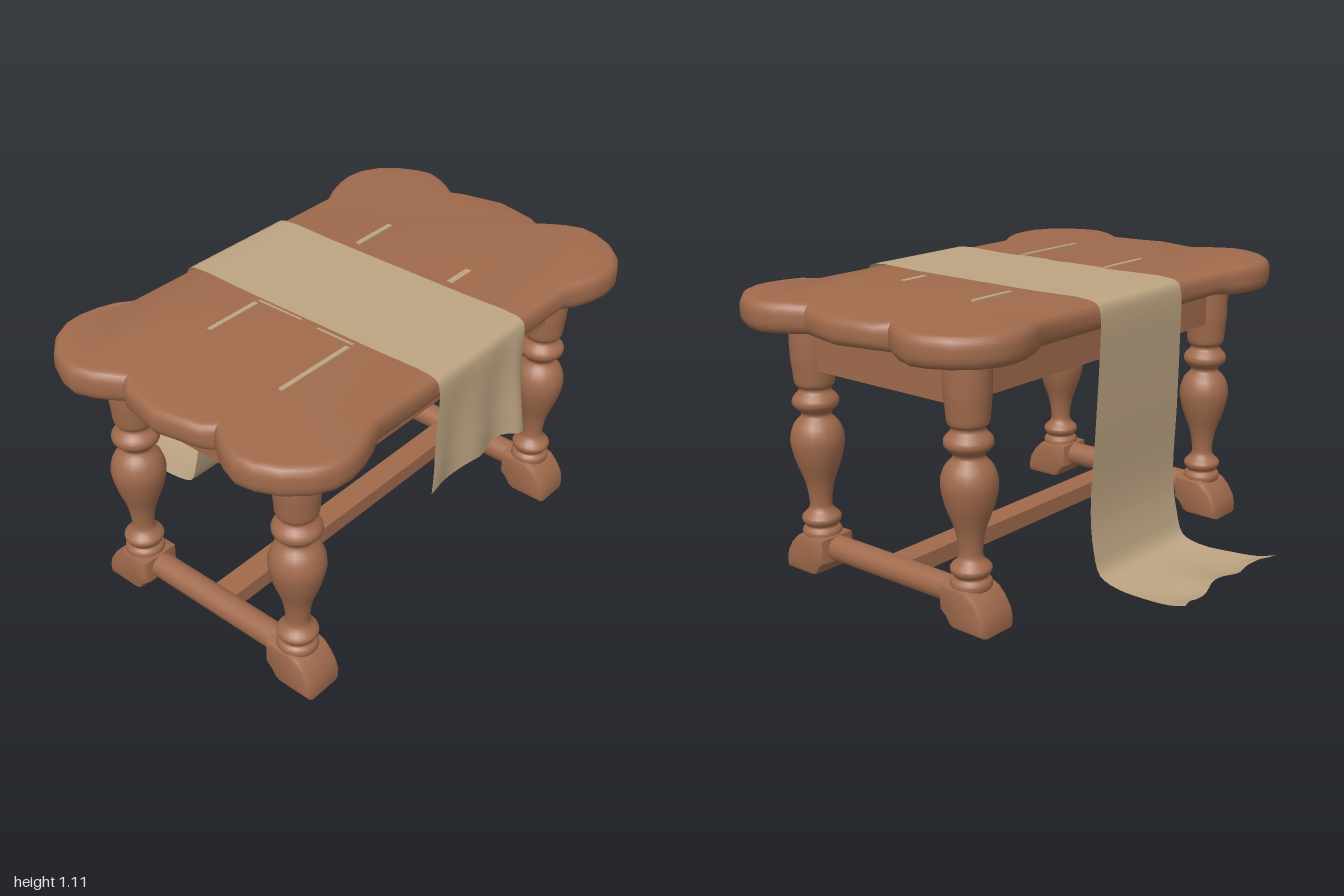
import * as THREE from 'three';
import { toCreasedNormals } from 'three/addons/utils/BufferGeometryUtils.js';

const wood = new THREE.MeshStandardMaterial({ color: 0xa06a4c });
wood.name = 'wood';
const linen = new THREE.MeshStandardMaterial({ color: 0xbda482, side: THREE.DoubleSide });
linen.name = 'linen';

const CX = 0.183;      // middle of the table
const LEG_X = 0.39;    // leg offsets from the middle
const LEG_Z = 0.73;

const V2 = ([x, y]) => new THREE.Vector2(x, y);

function add(parent, name, geometry, material, x = 0, y = 0, z = 0) {
  const mesh = new THREE.Mesh(geometry, material);
  mesh.name = name;
  mesh.position.set(x, y, z);
  parent.add(mesh);
  return mesh;
}

// Scalloped slab with a rounded rim, slightly thinner between the corner lobes
function tabletopGeometry() {
  const q = [[0.572, 0.25], [0.572, 0.54], [0.6, 0.6], [0.624, 0.67], [0.635, 0.74], [0.628, 0.81],
    [0.59, 0.885], [0.52, 0.95], [0.44, 0.988], [0.37, 1], [0.3, 0.975], [0.25, 0.945],
    [0.208, 0.915], [0.17, 0.945], [0.1, 0.96]];
  const back = [...q].reverse();
  const outline = [
    ...q, [0, 0.982], ...back.map(([x, y]) => [-x, y]),
    ...q.map(([x, y]) => [-x, -y]), [0, -0.982], ...back.map(([x, y]) => [x, -y]),
  ].map(V2);
  const g = new THREE.ExtrudeGeometry(new THREE.Shape(outline), {
    depth: 0.025, bevelThickness: 0.045, bevelSize: 0.032, bevelOffset: -0.032, bevelSegments: 5,
  });
  g.translate(0, 0, -0.0125).rotateX(-Math.PI / 2);
  const p = g.attributes.position;
  for (let i = 0; i < p.count; i++) {
    const middle = Math.abs(p.getZ(i)) < 0.56 || Math.abs(p.getX(i)) < 0.2;
    if (middle) p.setY(i, p.getY(i) * 0.86);
  }
  return toCreasedNormals(g, 0.7);
}

// Turned leg: smooth spline through [radius, height]
function legGeometry() {
  const spline = new THREE.SplineCurve([
    [0.066, 0.14], [0.075, 0.15], [0.074, 0.172], [0.06, 0.187], [0.073, 0.205], [0.074, 0.225],
    [0.05, 0.25], [0.043, 0.28], [0.055, 0.36], [0.087, 0.45], [0.103, 0.53], [0.088, 0.59],
    [0.058, 0.625], [0.062, 0.645], [0.086, 0.668], [0.086, 0.695], [0.062, 0.722],
    [0.062, 0.738], [0.075, 0.752], [0.08, 0.8], [0.086, 0.87], [0.086, 1.0],
  ].map(V2));
  return new THREE.LatheGeometry(spline.getPoints(63), 20);
}

// Foot block: rounded outer shoulder, sloping inner side; points outwards along +x
function footGeometry() {
  const side = [[-0.1, 0.06], [-0.075, 0.04], [-0.055, 0.01], [-0.035, 0], [0.112, 0], [0.114, 0.04],
    [0.105, 0.075], [0.08, 0.115], [0.05, 0.145], [0.02, 0.157], [-0.1, 0.157]].map(V2);
  const g = new THREE.ExtrudeGeometry(new THREE.Shape(side), {
    depth: 0.125, bevelThickness: 0.02, bevelSize: 0.015, bevelOffset: -0.015, bevelSegments: 2,
  });
  return toCreasedNormals(g.translate(0, 0, -0.0625), 0.7);
}

// Runner draped over the table: stations are [x, y, half width] along its length
function clothGeometry() {
  const path = new THREE.CatmullRomCurve3([
    [0.785, 0.665, 0.29], [0.785, 0.75, 0.28], [0.78, 0.85, 0.27], [0.777, 0.97, 0.255],
    [0.775, 1.06, 0.25], [0.765, 1.095, 0.25], [0.735, 1.11, 0.25], [0.5, 1.11, 0.25],
    [0.183, 1.11, 0.25], [-0.1, 1.11, 0.25], [-0.355, 1.11, 0.25], [-0.39, 1.095, 0.25],
    [-0.402, 1.05, 0.25], [-0.4, 0.9, 0.252], [-0.388, 0.6, 0.26], [-0.375, 0.32, 0.265],
    [-0.395, 0.17, 0.27], [-0.425, 0.085, 0.27], [-0.5, 0.058, 0.272], [-0.62, 0.058, 0.28],
    [-0.73, 0.068, 0.285], [-0.8, 0.09, 0.29],
  ].map((p) => new THREE.Vector3(...p)));
  const rows = 63, cols = 20;
  const g = new THREE.PlaneGeometry(1, 1, cols, rows);
  const p = g.attributes.position;
  for (let i = 0; i < p.count; i++) {
    const s = p.getX(i) * 2;
    const t = THREE.MathUtils.clamp(0.5 - p.getY(i), 0, 1);
    const c = path.getPoint(t);
    const hang = Math.max(0, 1 - t / 0.2);                  // short free end
    const floor = THREE.MathUtils.smoothstep(t, 0.8, 1);    // long end on the ground
    const ripple = Math.sin(s * 7 + 1);
    // One deep fold near the rear corner of the short end
    const fold = Math.exp(-(((s + 0.75) / 0.18) ** 2));
    c.x += hang * (0.012 * ripple + 0.028 * fold - 0.025 * Math.max(0, -s - 0.8) * 5);
    c.y += hang * 0.008 * Math.sin(s * 9) - hang * 0.03 * Math.max(0, -s - 0.8) * 5;
    c.x -= floor * (0.012 * Math.sin(s * 8) - 0.03 * Math.max(0, Math.abs(s) - 0.8) * -5);
    c.y += floor * 0.01 * Math.sin(s * 5 + 2);
    p.setXYZ(i, c.x, c.y, s * c.z);
  }
  g.computeVertexNormals();
  return g;
}

export function createModel() {
  const model = new THREE.Group();
  model.name = 'trestleTable';

  add(model, 'tabletop', tabletopGeometry(), wood, CX, 1.049, 0);

  const leg = legGeometry();
  const foot = footGeometry();
  const rail = new THREE.CylinderGeometry(0.05, 0.05, LEG_X * 2 - 0.1, 16).rotateZ(Math.PI / 2);
  const endApron = new THREE.BoxGeometry(LEG_X * 2, 0.185, 0.09);
  const sideApron = new THREE.BoxGeometry(0.09, 0.16, LEG_Z * 2);

  // Two end frames, each with a pair of legs and feet
  for (const sz of [-1, 1]) {
    const frame = new THREE.Group();
    frame.name = sz > 0 ? 'frontFrame' : 'backFrame';
    frame.position.set(CX, 0, sz * LEG_Z);
    model.add(frame);
    for (const sx of [-1, 1]) {
      const side = sx > 0 ? 'left' : 'right';
      add(frame, side + 'Leg', leg, wood, sx * LEG_X, 0, 0);
      add(frame, side + 'Foot', foot, wood, sx * (LEG_X + 0.014), 0, 0).rotation.y = sx > 0 ? 0 : Math.PI;
    }
    add(frame, 'footRail', rail, wood, 0, 0.107, 0);
    add(frame, 'endApron', endApron, wood, 0, 0.9075, 0);
  }

  // Long members joining the frames
  for (const sx of [-1, 1]) {
    add(model, sx > 0 ? 'leftApron' : 'rightApron', sideApron, wood, CX + sx * LEG_X, 0.92, 0);
  }
  add(model, 'stretcher', new THREE.BoxGeometry(0.1, 0.066, LEG_Z * 2), wood, CX, 0.104, 0);

  add(model, 'tableRunner', clothGeometry(), linen);

  // Thin linen slivers beside the runner: [x, z, width, length]
  const slivers = [[-0.027, -0.4, 0.02, 0.2], [0.415, -0.35, 0.024, 0.12], [-0.018, 0.4, 0.018, 0.24],
    [0.415, 0.46, 0.018, 0.34], [0.08, 0.262, 0.2, 0.008], [0.34, 0.268, 0.16, 0.008]];
  for (const [x, z, w, l] of slivers) {
    add(model, 'linenSliver', new THREE.BoxGeometry(w, 0.008, l), linen, x, 1.104, z);
  }
  return model;
}
